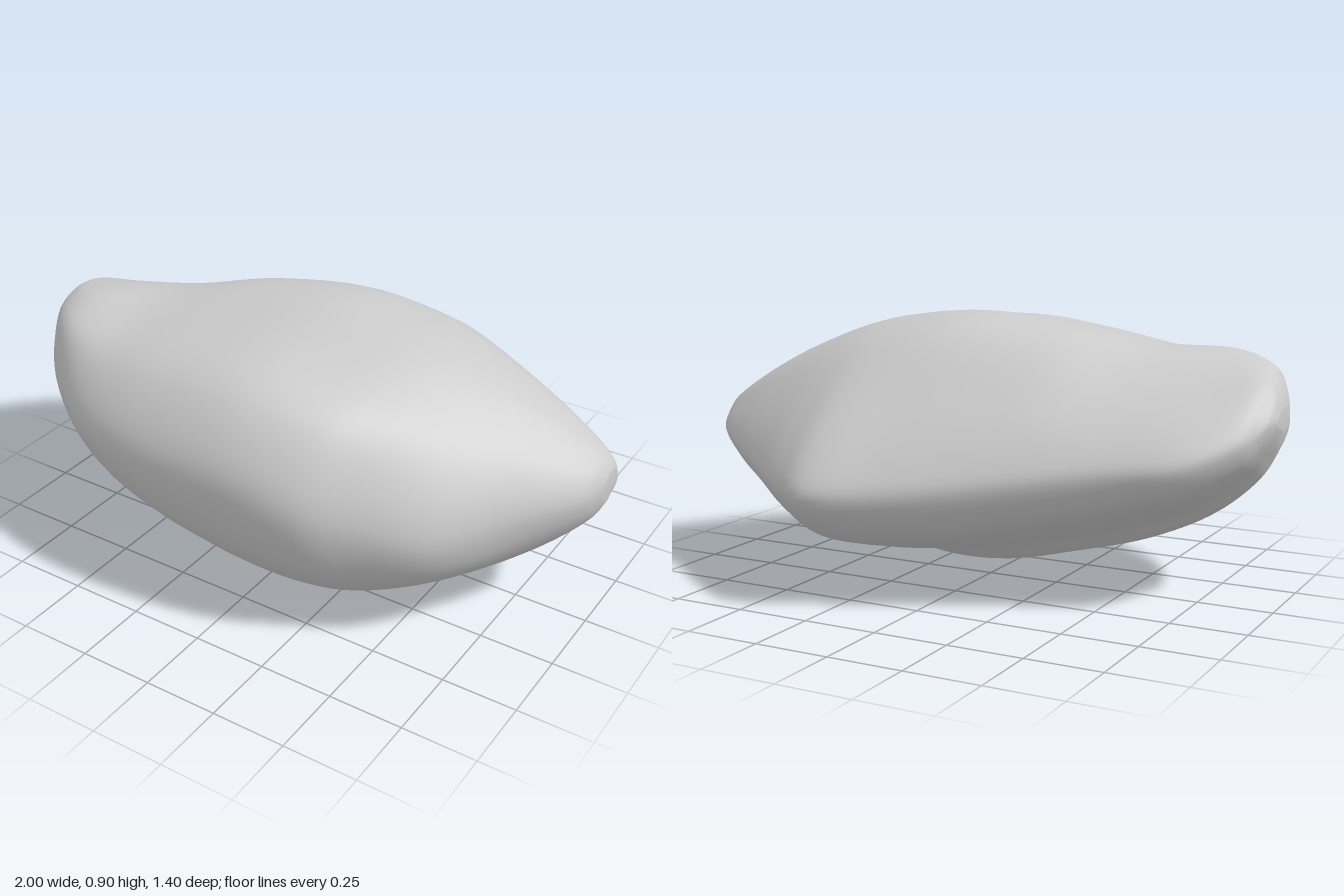
import * as THREE from 'three';

// Stations along x: back edge, crest, front edge and keel, each as z, y
const stations = [
  // x    back        crest       front       keel
  [-1.0, -0.02, 0.61, 0.04, 0.645, 0.09, 0.61, 0.04, 0.575],
  [-0.985, -0.06, 0.60, 0.06, 0.69, 0.16, 0.59, 0.05, 0.525],
  [-0.96, -0.10, 0.57, 0.09, 0.73, 0.23, 0.58, 0.06, 0.475],
  [-0.92, -0.16, 0.54, 0.14, 0.765, 0.31, 0.57, 0.07, 0.41],
  [-0.78, -0.27, 0.48, 0.20, 0.80, 0.46, 0.55, 0.08, 0.285],
  [-0.55, -0.35, 0.45, 0.09, 0.812, 0.61, 0.53, 0.10, 0.17],
  [-0.28, -0.46, 0.41, -0.02, 0.863, 0.685, 0.52, 0.14, 0.085],
  [0.05, -0.61, 0.37, -0.02, 0.90, 0.69, 0.52, 0.18, 0.005],
  [0.30, -0.70, 0.365, 0.06, 0.88, 0.65, 0.48, 0.18, 0.015],
  [0.45, -0.62, 0.375, 0.06, 0.85, 0.57, 0.44, 0.18, 0.065],
  [0.65, -0.46, 0.40, 0.0, 0.77, 0.45, 0.41, 0.13, 0.165],
  [0.83, -0.32, 0.43, -0.06, 0.67, 0.23, 0.45, 0.05, 0.26],
  [0.97, -0.20, 0.47, -0.09, 0.57, 0.05, 0.47, -0.04, 0.375],
  [1.0, -0.14, 0.48, -0.09, 0.53, -0.03, 0.48, -0.07, 0.43],
];

// Rounds one station out into a ring of anchors: back, crest, front, keel, back
function ringAnchors([x, zb, yb, zt, yt, zf, yf, zk, yk]) {
  const at = (z0, y0, z1, y1, fz, fy) =>
    new THREE.Vector3(x, y0 + (y1 - y0) * fy, z0 + (z1 - z0) * fz);
  const backSlope = (fz, fy) => at(zb, yb, zt, yt, fz, fy);
  const frontTop = (fz, fy) => at(zt, yt, zf, yf, fz, fy);
  const frontBelly = (fz, fy) => at(zk, yk, zf, yf, fz, fy);
  const backBelly = (fz, fy) => at(zk, yk, zb, yb, fz, fy);
  // The front shoulder gets softer towards +x, and a little towards -x
  const s = THREE.MathUtils.clamp((x - 0.1) / 0.5, 0, 1);
  const u = THREE.MathUtils.clamp((-0.1 - x) / 0.5, 0, 1);
  return [
    backSlope(0, 0), backSlope(0.06, 0.2), backSlope(0.30, 0.56), backSlope(0.64, 0.9),
    frontTop(0, 0), frontTop(0.36, 0.05 + 0.07 * s),
    frontTop(0.78 - 0.1 * s - 0.04 * u, 0.2 + 0.14 * s + 0.03 * u),
    frontTop(0.97 - 0.04 * s - 0.02 * u, 0.64 + 0.06 * s),
    frontBelly(1, 1), frontBelly(0.86, 0.55), frontBelly(0.47, 0.18),
    backBelly(0, 0), backBelly(0.25, 0.23), backBelly(0.63, 0.42), backBelly(0.88, 0.64),
  ];
}

function stoneGeometry(rings = 70, sides = 72) {
  // Smooth curves running lengthwise through matching anchors
  const anchors = stations.map(ringAnchors);
  const lengthwise = anchors[0].map((_, k) =>
    new THREE.CatmullRomCurve3(anchors.map((ring) => ring[k]), false, 'centripetal'));

  const positions = [];
  const indices = [];
  const ends = [];
  for (let i = 0; i <= rings; i++) {
    const ring = new THREE.CatmullRomCurve3(
      lengthwise.map((curve) => curve.getPoint(i / rings)), true, 'centripetal');
    const centre = new THREE.Vector3();
    for (let j = 0; j < sides; j++) {
      const p = ring.getPoint(j / sides);
      positions.push(p.x, p.y, p.z);
      centre.addScaledVector(p, 1 / sides);
      if (i === rings) continue;
      const a = i * sides + j;
      const d = i * sides + (j + 1) % sides;
      indices.push(a, d, a + sides, a + sides, d, d + sides);
    }
    if (i === 0 || i === rings) ends.push(centre);
  }

  // Close both ends
  const first = (rings + 1) * sides;
  ends.forEach((c) => positions.push(c.x, c.y, c.z));
  for (let j = 0; j < sides; j++) {
    const k = (j + 1) % sides;
    indices.push(first, k, j, first + 1, rings * sides + j, rings * sides + k);
  }

  const geometry = new THREE.BufferGeometry();
  geometry.setAttribute('position', new THREE.Float32BufferAttribute(positions, 3));
  geometry.setIndex(indices);
  geometry.computeVertexNormals();
  return geometry;
}

export function createModel() {
  const model = new THREE.Group();
  model.name = 'rock';
  const stone = new THREE.Mesh(
    stoneGeometry(), new THREE.MeshStandardMaterial({ color: 0xcccccc }));
  stone.name = 'stone';
  model.add(stone);
  return model;
}
